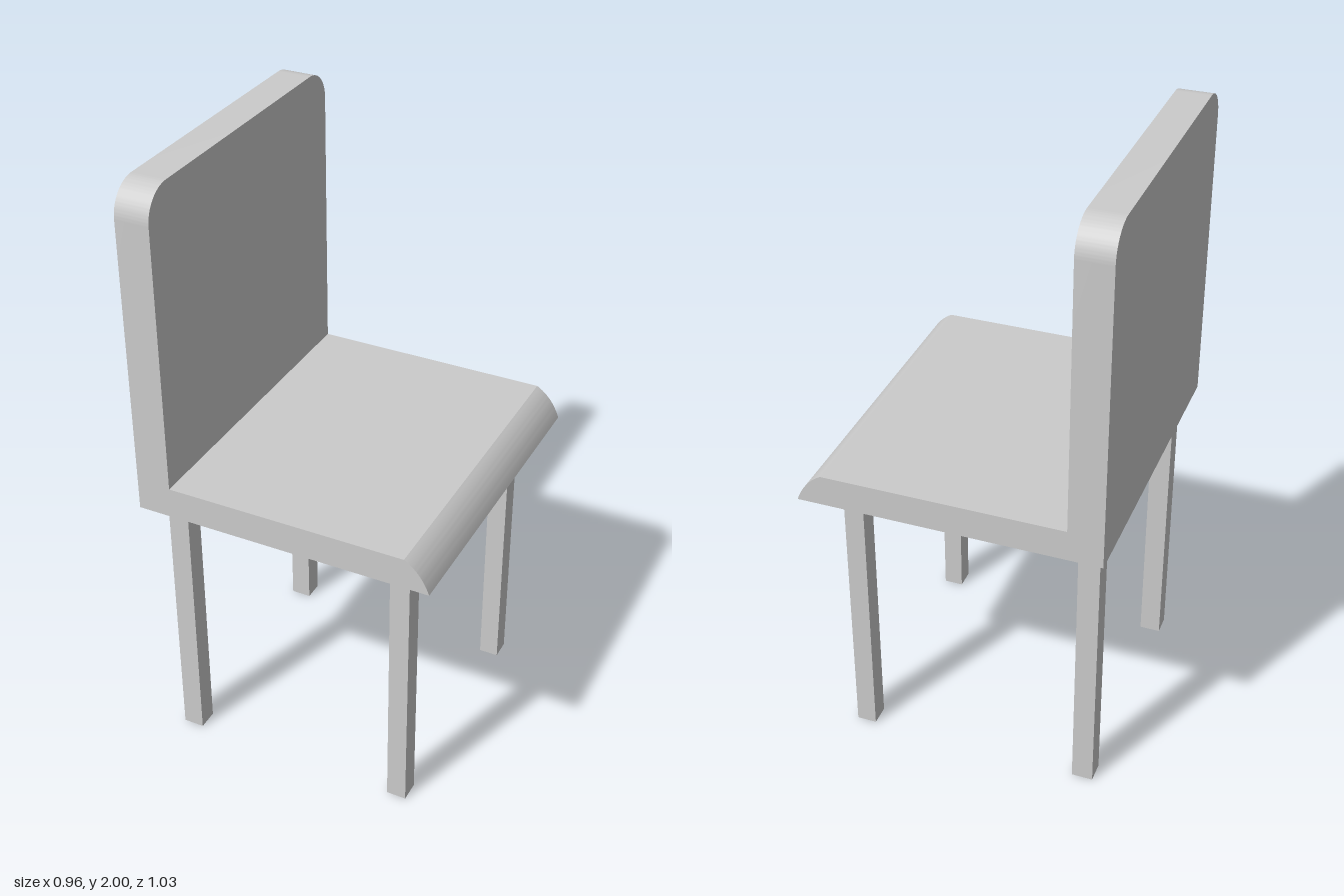
import * as THREE from 'three';
import { toCreasedNormals } from 'three/addons/utils/BufferGeometryUtils.js';

const SEAT_Y = 0.94, SEAT_TOP = 1.04, FRAME_Y = 0.885;
const HALF_WIDTH = 0.517;
const BACK_X = -0.48, BACK_FRONT_X = -0.37, FRONT_X = 0.48;

export function createModel() {
  const chair = new THREE.Group();
  chair.name = 'chair';
  const material = new THREE.MeshStandardMaterial({ color: 0xcccccc });
  const openMaterial = new THREE.MeshStandardMaterial({ color: 0xcccccc, side: THREE.DoubleSide });

  function add(name, geometry, mat = material) {
    const mesh = new THREE.Mesh(geometry, mat);
    mesh.name = name;
    chair.add(mesh);
    return mesh;
  }

  function extrude(shape, depth) {
    const geometry = new THREE.ExtrudeGeometry(shape, { depth, bevelEnabled: false, curveSegments: 16 });
    return toCreasedNormals(geometry, 0.4);
  }

  function box(x0, x1, y0, y1, z0, z1) {
    return new THREE.BoxGeometry(x1 - x0, y1 - y0, z1 - z0)
      .translate((x0 + x1) / 2, (y0 + y1) / 2, (z0 + z1) / 2);
  }

  // Seat: side profile with a rounded front edge, swept across the width
  const seat = new THREE.Shape();
  seat.moveTo(BACK_FRONT_X, SEAT_Y);
  seat.lineTo(FRONT_X, SEAT_Y);
  seat.quadraticCurveTo(0.455, 1.01, 0.4, SEAT_TOP);
  seat.lineTo(BACK_FRONT_X, SEAT_TOP);
  seat.closePath();
  add('seat', extrude(seat, 2 * HALF_WIDTH).translate(0, 0, -HALF_WIDTH));

  // Backrest: panel with rounded top corners, turned to face +x
  const r = 0.1, w = HALF_WIDTH;
  const back = new THREE.Shape();
  back.moveTo(-w, SEAT_Y);
  back.lineTo(w, SEAT_Y);
  back.lineTo(w, 2 - r);
  back.absarc(w - r, 2 - r, r, 0, Math.PI / 2);
  back.lineTo(-w + r, 2);
  back.absarc(-w + r, 2 - r, r, Math.PI / 2, Math.PI);
  back.closePath();
  add('backrest', extrude(back, BACK_FRONT_X - BACK_X).rotateY(Math.PI / 2).translate(BACK_X, 0, 0));

  // Frame under the seat
  add('seatFrame', box(-0.443, 0.377, FRAME_Y, SEAT_Y, -0.42, 0.42));

  // Legs: the front pair is open at the bottom
  for (const side of [1, -1]) {
    const z0 = side > 0 ? 0.353 : -0.42, z1 = z0 + 0.067;
    const end = side > 0 ? 'Left' : 'Right';
    add('backLeg' + end, box(-0.443, -0.375, 0, FRAME_Y, z0, z1));
    const front = box(0.313, 0.377, 0, FRAME_Y, z0, z1);
    const index = Array.from(front.index.array);
    index.splice(18, 6); // bottom face
    front.setIndex(index);
    front.clearGroups();
    add('frontLeg' + end, front, openMaterial);
  }

  return chair;
}
